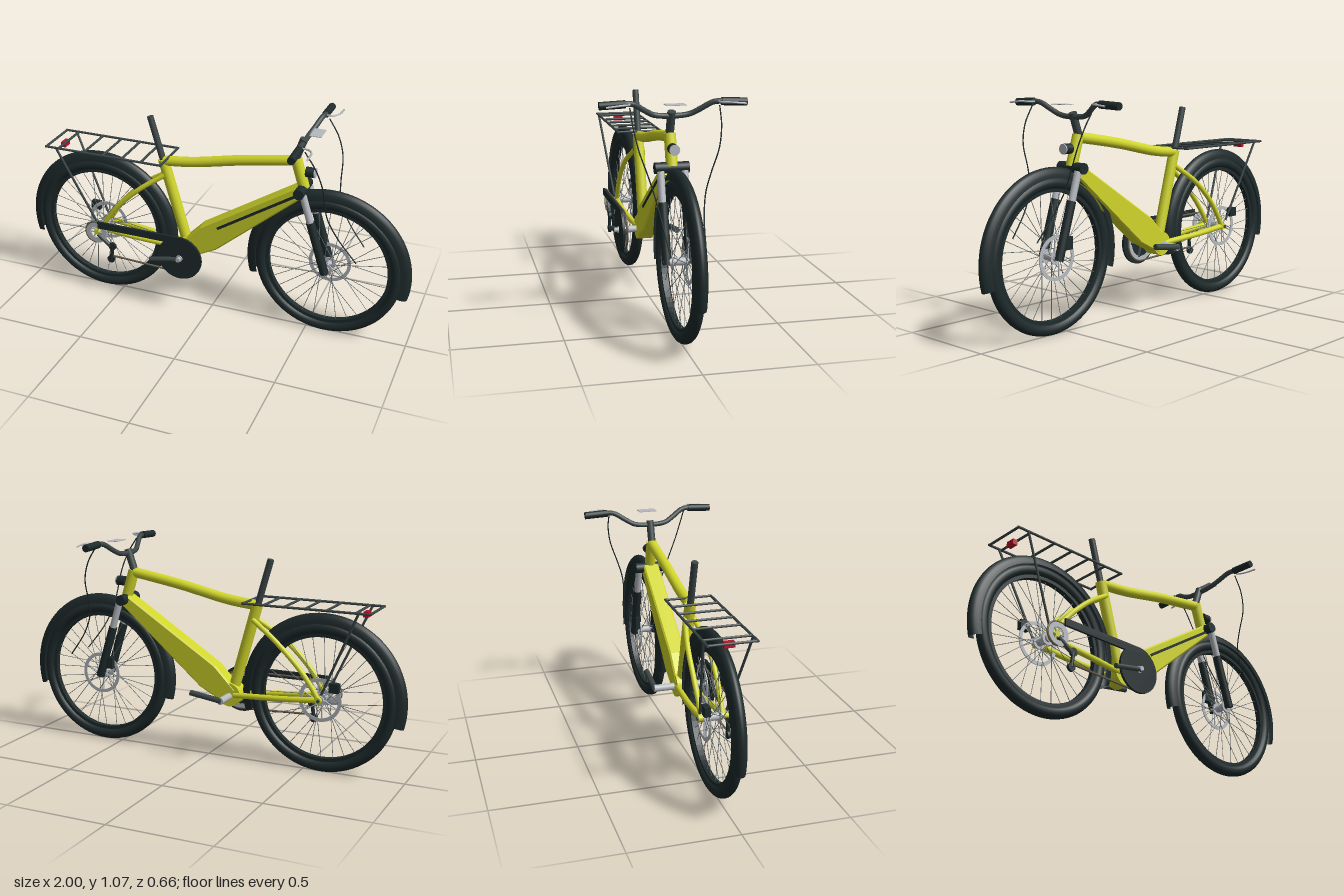
import * as THREE from 'three';

const mat = (name, color, side = THREE.FrontSide) => {
  const m = new THREE.MeshStandardMaterial({ color, side });
  m.name = name;
  return m;
};
const V = (p) => new THREE.Vector3(...p);

export function createModel() {
  const yellow = mat('framePaint', 0xd0d52a);
  const black = mat('rubberBlack', 0x1e2a2b, THREE.DoubleSide);
  const dark = mat('darkMetal', 0x3c4647);
  const silver = mat('silver', 0xb6babf);
  const steel = mat('spokeSteel', 0x70787a);
  const brown = mat('chainBrown', 0x665d4c);
  const red = mat('lampRed', 0xb8132b);

  const model = new THREE.Group();
  model.name = 'bicycle';
  const add = (name, geo, material, pos = [0, 0, 0], parent = model) => {
    const m = new THREE.Mesh(geo, material);
    m.name = name;
    m.position.set(...pos);
    parent.add(m);
    return m;
  };
  // straight rod between two points
  const rod = (name, a, b, r, material, parent = model, sides = 16) => {
    const d = V(b).sub(V(a));
    const m = add(name, new THREE.CylinderGeometry(r, r, d.length(), sides), material, [0, 0, 0], parent);
    m.position.copy(V(a)).addScaledVector(d, 0.5);
    m.quaternion.setFromUnitVectors(new THREE.Vector3(0, 1, 0), d.normalize());
    return m;
  };
  // smooth tube through points
  const tube = (name, pts, r, material, sides = 12) =>
    add(name, new THREE.TubeGeometry(new THREE.CatmullRomCurve3(pts.map(V)), 40, r, sides), material);
  const box = (name, size, pos, material) => add(name, new THREE.BoxGeometry(...size), material, pos);
  // flat ring lying in the xy plane
  const ring = (rIn, rOut, depth) => {
    const s = new THREE.Shape().absarc(0, 0, rOut, 0, Math.PI * 2);
    s.holes.push(new THREE.Path().absarc(0, 0, rIn, 0, Math.PI * 2, true));
    return new THREE.ExtrudeGeometry(s, { depth, bevelEnabled: false, curveSegments: 32 });
  };
  const polar = (r, a, z) => [r * Math.cos(a), r * Math.sin(a), z];

  // wheels with tyre, rim, spokes, brake disc and fender
  const AY = 0.368, FX = 0.592, RX = -0.592;
  const wheel = (name, x) => {
    const g = new THREE.Group();
    g.name = name;
    g.position.set(x, AY, 0);
    model.add(g);
    add('tyre', new THREE.TorusGeometry(0.334, 0.028, 16, 80), black, [0, 0, 0], g);
    add('rim', ring(0.294, 0.318, 0.028), black, [0, 0, -0.014], g);
    rod('hub', [0, 0, -0.045], [0, 0, 0.045], 0.018, silver, g);
    rod('axle', [0, 0, -0.072], [0, 0, 0.072], 0.008, dark, g);
    for (const s of [-1, 1]) {
      rod('hubFlange', [0, 0, s * 0.028], [0, 0, s * 0.034], 0.031, silver, g, 24);
    }
    for (let i = 0; i < 32; i++) {
      const a = (i / 32) * Math.PI * 2, side = i % 2 ? 1 : -1;
      const lean = i % 4 < 2 ? 0.9 : -0.9;
      rod('spoke', polar(0.029, a + lean, side * 0.03), polar(0.298, a, 0), 0.0016, steel, g, 5);
    }
    add('brakeDisc', ring(0.088, 0.105, 0.004), silver, [0, 0, -0.042], g);
    for (let i = 0; i < 6; i++) {
      const a = (i / 6) * Math.PI * 2;
      rod('discArm', polar(0.02, a, -0.04), polar(0.092, a + 0.4, -0.04), 0.003, silver, g, 6);
    }
    const profile = [];
    for (let i = 0; i <= 10; i++) {
      const t = (i / 10) * Math.PI;
      profile.push(new THREE.Vector2(0.358 + 0.048 * Math.sin(t), -0.03 * Math.cos(t)));
    }
    const fender = new THREE.LatheGeometry(profile, 60, Math.PI - 1.83, 3.66).rotateX(Math.PI / 2);
    add('fender', fender, black, [0, 0, 0], g);
    return g;
  };
  wheel('frontWheel', FX);
  const rear = wheel('rearWheel', RX);
  box('rearCaliper', [0.048, 0.045, 0.028], [-0.665, 0.437, -0.053], black);
  box('frontCaliper', [0.04, 0.06, 0.028], [0.535, 0.43, -0.05], black);

  // frame tubes
  tube('topTube', [[-0.25, 0.782, 0], [-0.1, 0.8, 0], [0.15, 0.852, 0], [0.41, 0.896, 0]], 0.025, yellow, 20);
  rod('headTube', [0.458, 0.765, 0], [0.414, 0.907, 0], 0.027, yellow, model, 24);
  rod('seatTube', [-0.13, 0.34, 0], [-0.256, 0.79, 0], 0.027, yellow, model, 24);
  rod('seatPost', [-0.25, 0.76, 0], [-0.32, 1.005, 0], 0.016, dark);
  rod('motorHousing', [-0.125, 0.335, -0.038], [-0.125, 0.335, 0.038], 0.058, yellow, model, 32);

  // battery down tube, lightly chamfered along its edges
  const down = new THREE.Shape([[0.432, 0.77], [0.46, 0.733], [0.028, 0.364], [-0.11, 0.293],
    [-0.15, 0.36], [-0.047, 0.466]].map((p) => new THREE.Vector2(...p)));
  add('downTube', new THREE.ExtrudeGeometry(down, {
    depth: 0.066, bevelThickness: 0.007, bevelSize: 0.007, bevelSegments: 1,
  }), yellow, [0, 0, -0.033]);
  const strip = box('batteryStrip', [0.47, 0.013, 0.004], [0.238, 0.609, 0.0415], black);
  strip.rotation.z = Math.atan2(0.25, 0.39);

  // seat and chain stays
  for (const s of [-1, 1]) {
    tube('seatStay', [[-0.24, 0.715, s * 0.02], [-0.37, 0.625, s * 0.047], [-0.49, 0.51, s * 0.053],
      [-0.55, 0.43, s * 0.051], [-0.588, AY, s * 0.05]], 0.0125, yellow);
    tube('chainStay', [[-0.588, AY, s * 0.05], [-0.4, 0.352, s * 0.048], [-0.15, 0.335, s * 0.03]], 0.0145, yellow);
    rod('dropout', [-0.588, AY, s * 0.042], [-0.588, AY, s * 0.066], 0.016, yellow);
  }

  // suspension fork
  for (const s of [-1, 1]) {
    rod('forkStanchion', [0.47, 0.748, s * 0.055], [0.515, 0.6, s * 0.055], 0.017, silver);
    rod('forkLeg', [0.51, 0.617, s * 0.053], [FX, 0.355, s * 0.053], 0.021, black);
  }
  rod('forkCrown', [0.453, 0.76, -0.078], [0.453, 0.76, 0.078], 0.026, black, model, 20);

  // stem, handlebar, grips, levers and cables
  rod('stem', [0.412, 0.905, 0], [0.448, 1.01, 0], 0.019, dark, model, 20);
  const half = [[0.49, 1.05, 0.3], [0.488, 1.055, 0.22], [0.48, 1.052, 0.18], [0.462, 1.02, 0.125],
    [0.448, 0.997, 0.08]];
  tube('handlebar', [...half, [0.445, 0.99, 0], ...half.map(([x, y, z]) => [x, y, -z]).reverse()], 0.0125, dark);
  for (const s of [-1, 1]) {
    rod('grip', [0.487, 1.054, s * 0.215], [0.486, 1.049, s * 0.33], 0.018, black);
    tube('brakeLever', [[0.49, 1.055, s * 0.2], [0.525, 1.055, s * 0.205], [0.548, 1.057, s * 0.235],
      [0.55, 1.05, s * 0.31]], 0.0045, silver, 6);
    tube('brakeCable', [[0.51, 1.04, s * 0.2], [0.56, 0.96, s * 0.195], [0.59, 0.87, s * 0.178],
      [0.597, 0.76, s * 0.14], [0.607, 0.68, s * 0.115], [0.655, 0.58, s * 0.095], [0.745, 0.46, s * 0.08]],
    0.003, black, 6);
  }
  box('display', [0.055, 0.003, 0.09], [0.51, 1.049, 0], silver);

  // lamps
  rod('headlightBody', [0.464, 0.848, 0], [0.505, 0.848, 0], 0.024, black, model, 24);
  rod('headlightLens', [0.505, 0.848, 0], [0.511, 0.848, 0], 0.024, silver, model, 24);
  rod('headlightBracket', [0.43, 0.835, 0], [0.48, 0.84, 0], 0.007, dark);
  box('tailLight', [0.024, 0.026, 0.048], [-0.793, 0.787, 0], red);

  // luggage rack
  for (const s of [-1, 1]) {
    rod('rackRail', [-0.845, 0.807, s * 0.109], [-0.22, 0.807, s * 0.109], 0.006, dark, model, 8);
    rod('rackStrut', [-0.785, 0.805, s * 0.109], [-0.605, 0.4, s * 0.062], 0.006, dark, model, 8);
  }
  for (const x of [-0.84, -0.772, -0.635, -0.532, -0.43, -0.328, -0.225]) {
    rod('rackCrossbar', [x, 0.807, -0.109], [x, 0.807, 0.109], 0.006, dark, model, 8);
  }

  // chain guard: round cover with an upper bar
  const CX = -0.125, CY = 0.328;
  const guard = new THREE.Shape();
  guard.moveTo(CX, CY + 0.115);
  guard.lineTo(-0.57, 0.443);
  guard.lineTo(-0.57, 0.408);
  guard.lineTo(CX - 0.082, 0.406);
  guard.absarc(CX, CY, 0.115, Math.PI * 0.76, Math.PI * 2.5, false);
  add('chainGuard', new THREE.ExtrudeGeometry(guard, { depth: 0.012, bevelEnabled: false, curveSegments: 40 }),
    black, [0, 0, 0.118]);

  // chainring, chain, sprockets and derailleur, all on one chain line
  const CZ = 0.103;
  add('chainring', ring(0.074, 0.094, 0.005), silver, [CX, CY, CZ - 0.0025]);
  for (let i = 0; i < 5; i++) {
    const p = polar(0.08, (i / 5) * Math.PI * 2, CZ);
    rod('chainringArm', [CX, CY, CZ], [CX + p[0], CY + p[1], CZ], 0.008, dark, model, 8);
  }
  add('chainWrap', new THREE.TorusGeometry(0.097, 0.005, 6, 40, Math.PI), brown, [CX, CY, CZ]).rotation.z = -Math.PI / 2;
  rod('chainTop', [RX, 0.425, CZ], [CX, 0.425, CZ], 0.005, brown, model, 6);
  rod('chainBottom', [-0.51, 0.248, CZ], [CX, 0.231, CZ], 0.005, brown, model, 6);
  add('chainRearWrap', new THREE.TorusGeometry(0.058, 0.005, 6, 24, Math.PI), brown, [RX, AY, CZ]).rotation.z = Math.PI / 2;
  for (const z of [0.096, 0.103]) {
    add('sprocket', ring(0.032, 0.059, 0.003), silver, [0, 0, z], rear);
  }
  for (let i = 0; i < 6; i++) {
    rod('sprocketArm', polar(0.01, i * 1.047, 0.1), polar(0.036, i * 1.047, 0.1), 0.004, silver, rear, 6);
  }
  rod('sprocketAxle', [0, 0, 0.06], [0, 0, 0.104], 0.014, yellow, rear);
  rod('derailleurHanger', [-0.585, 0.355, 0.098], [-0.515, 0.305, 0.104], 0.011, dark);
  rod('derailleurCage', [-0.503, 0.305, 0.106], [-0.512, 0.23, 0.106], 0.009, black);
  for (const [x, y] of [[-0.503, 0.305], [-0.513, 0.23]]) {
    rod('pulley', [x, y, 0.098], [x, y, 0.112], 0.02, black);
  }

  // crank axle, arms and pedal stubs
  rod('crankAxle', [CX, 0.328, -0.14], [CX, 0.328, 0.135], 0.017, silver, model, 20);
  rod('rightCrank', [CX - 0.005, 0.33, -0.137], [0.035, 0.352, -0.134], 0.014, dark, model, 12);
  rod('leftCrank', [CX + 0.005, 0.328, 0.138], [-0.28, 0.298, 0.14], 0.012, dark, model, 12);
  rod('crankCap', [CX, 0.328, 0.135], [CX, 0.328, 0.152], 0.012, silver);

  return model;
}
